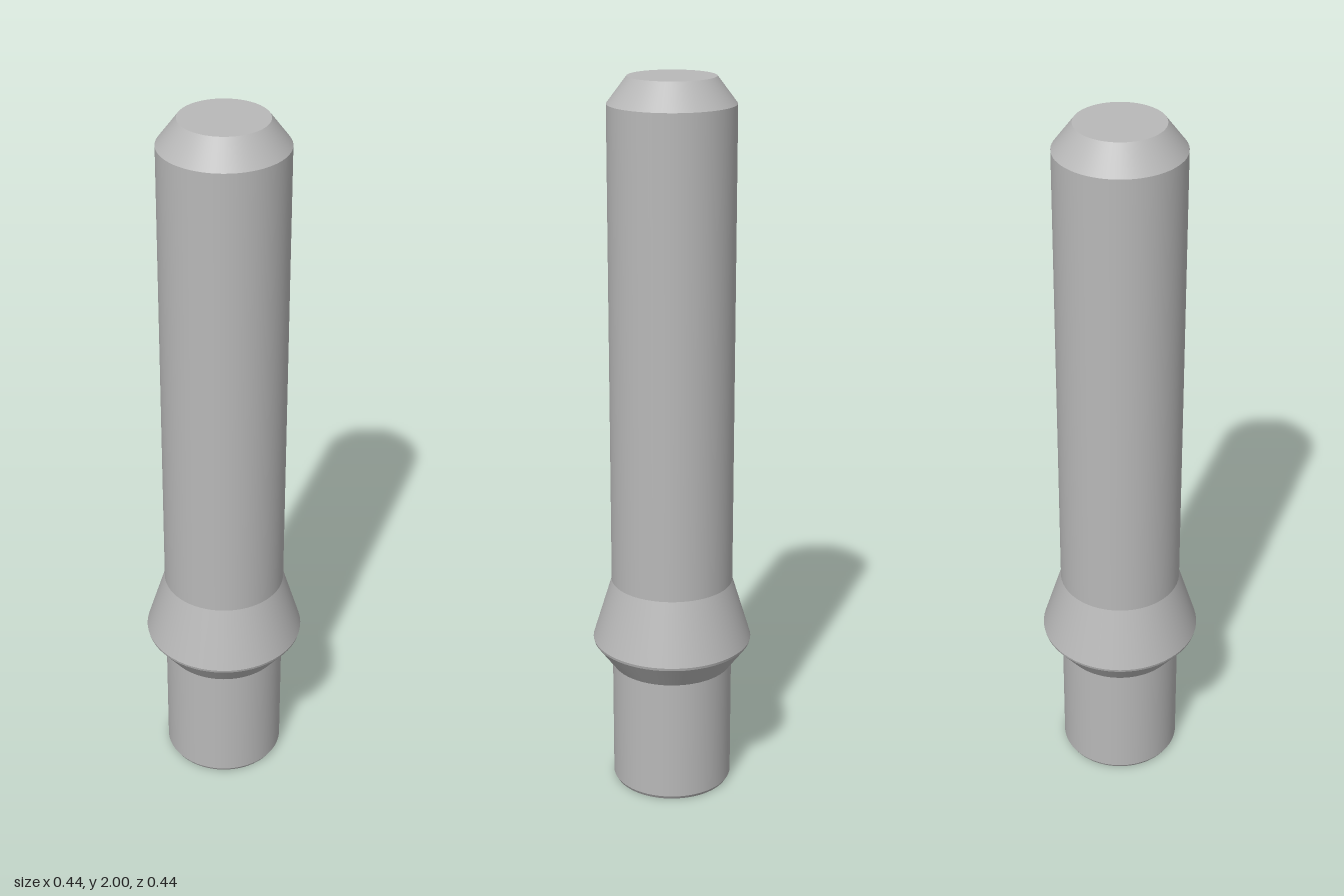
import * as THREE from 'three';

const SIDES = 64;

export function createModel() {
  const group = new THREE.Group();
  const grey = new THREE.MeshStandardMaterial({ color: 0xb8b8b8 });
  grey.name = 'plain grey';

  // One turned band; separate bands keep the edges between them sharp
  const band = (name, y0, r0, y1, r1) => {
    const mesh = new THREE.Mesh(
      new THREE.CylinderGeometry(r1, r0, y1 - y0, SIDES, 1, true), grey);
    mesh.position.y = (y0 + y1) / 2;
    mesh.name = name;
    group.add(mesh);
  };

  // Flat round end facing up (1) or down (-1)
  const endCap = (name, y, r, dir) => {
    const mesh = new THREE.Mesh(new THREE.CircleGeometry(r, SIDES), grey);
    mesh.rotation.x = -dir * Math.PI / 2;
    mesh.position.y = y;
    mesh.name = name;
    group.add(mesh);
  };

  // Lower stem with a tiny bevel at the foot
  endCap('bottomFace', 0, 0.162, -1);
  band('footBevel', 0, 0.162, 0.01, 0.168);
  band('lowerStem', 0.01, 0.168, 0.36, 0.168);

  // Flared collar
  band('collarUnderside', 0.36, 0.168, 0.43, 0.22);
  band('collarRim', 0.43, 0.22, 0.438, 0.222);
  band('collarSlope', 0.438, 0.222, 0.612, 0.169);

  // Long shaft and chamfered tip
  band('shaft', 0.612, 0.169, 1.93, 0.169);
  band('tipChamfer', 1.93, 0.169, 2, 0.116);
  endCap('topFace', 2, 0.116, 1);

  return group;
}
